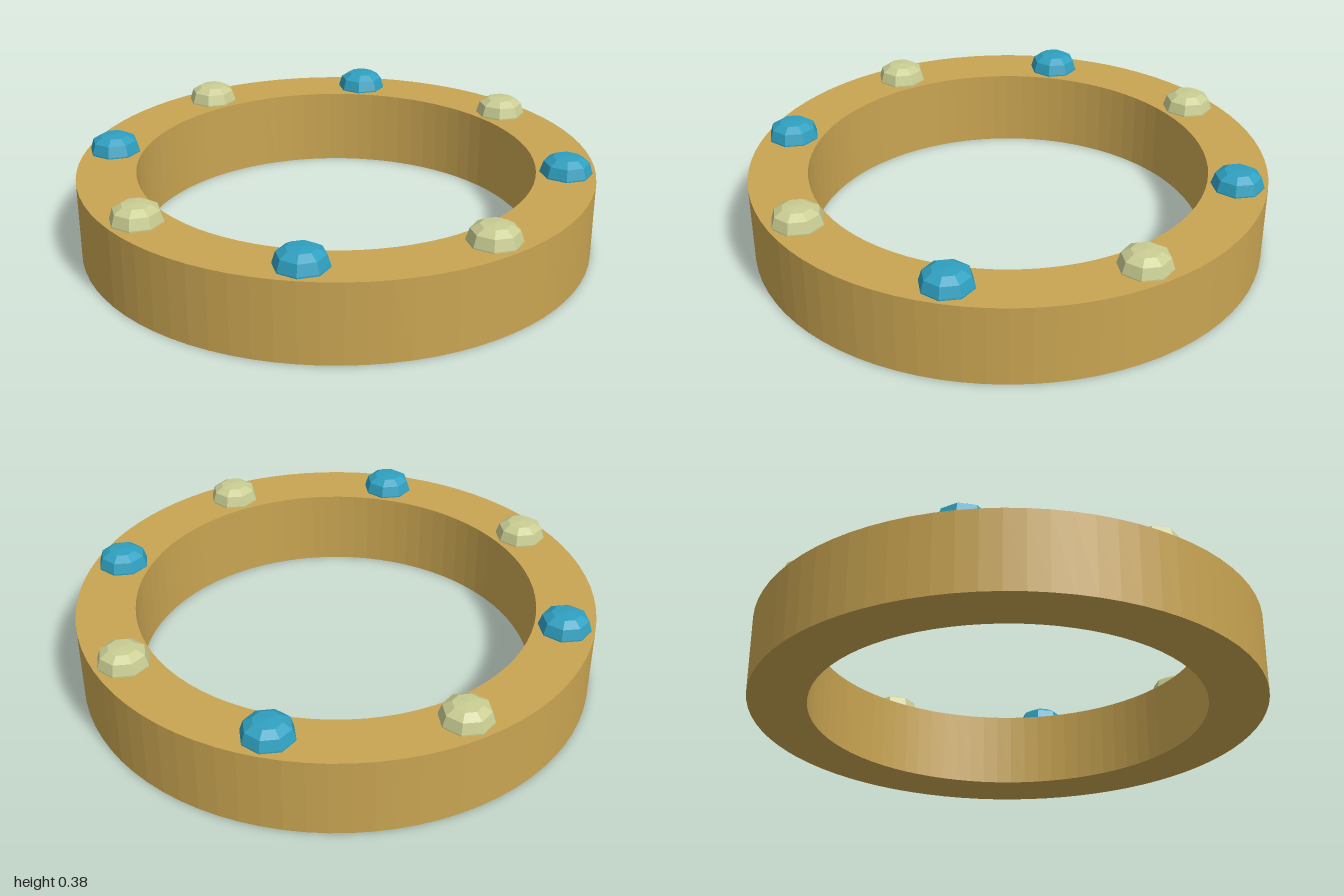
import * as THREE from 'three';

const material = (name, color) => {
  const m = new THREE.MeshStandardMaterial({ color, flatShading: true });
  m.name = name;
  return m;
};

// Revolve a list of [radius, height] points
const lathe = (points, sides) =>
  new THREE.LatheGeometry(points.map(([r, y]) => new THREE.Vector2(r, y)), sides);

export function createModel() {
  const group = new THREE.Group();
  group.name = 'jewelledRing';
  const gold = material('gold', 0xc9a552);
  const pale = material('pale green', 0xc9cd92);
  const blue = material('blue', 0x2fa0c0);

  const inner = 0.773, height = 0.31;

  // Square-section band
  const band = new THREE.Mesh(
    lathe([[inner, 0], [1, 0], [1, height], [inner, height], [inner, 0]], 80), gold);
  band.name = 'band';
  group.add(band);

  // Eight faceted stones in alternating colours, sunk slightly into the band
  const stone = lathe(
    [[0, -0.02], [0.1, -0.02], [0.1, 0.005], [0.087, 0.046], [0.054, 0.066], [0, 0.071]], 8);
  for (let i = 0; i < 8; i++) {
    const a = i * Math.PI / 4;
    const gem = new THREE.Mesh(stone, i % 2 ? blue : pale);
    gem.name = i % 2 ? 'blueStone' : 'paleStone';
    gem.position.set(Math.cos(a) * 0.886, height, Math.sin(a) * 0.886);
    group.add(gem);
  }
  return group;
}
